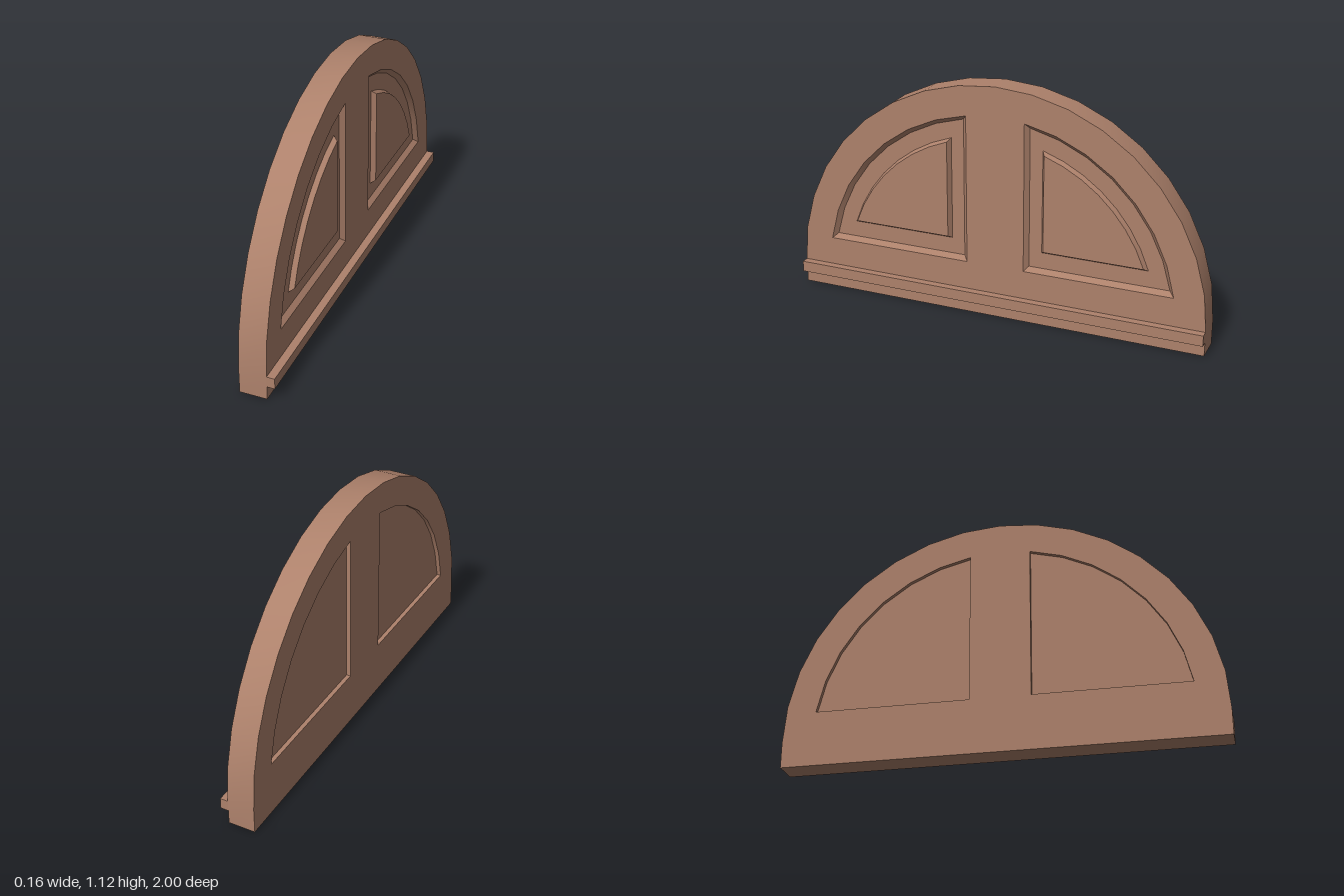
import * as THREE from 'three';
import { mergeGeometries, toCreasedNormals } from 'three/addons/utils/BufferGeometryUtils.js';

const BACK = -0.082, FRONT = 0.045, BASE = 0.118; // slab faces and height where the arch springs
const CREASE = 0.35;

// Quarter-round panel outline, counter-clockwise; side = 1 or -1 mirrors it.
// r: arc radius about the arch centre, a: distance from the middle, b: bottom height
function panelOutline(side, r, a, b) {
  const pts = [], n = 7;
  const t0 = Math.asin((b - BASE) / r), t1 = Math.acos(a / r);
  for (let i = 0; i <= n; i++) {
    const t = t0 + (t1 - t0) * i / n;
    pts.push(new THREE.Vector2(side * r * Math.cos(t), BASE + r * Math.sin(t)));
  }
  pts.push(new THREE.Vector2(side * a, b));
  return side > 0 ? pts : pts.reverse();
}

// Moulded panel: bevel down, flat border, bevel up to a raised field
function mouldedPanel(side) {
  const rings = [
    [FRONT, 0.86, 0.14, 0.255],
    [0.024, 0.84, 0.16, 0.277],
    [0.024, 0.761, 0.221, 0.355],
    [0.0465, 0.75, 0.235, 0.368],
  ].map(([h, r, a, b]) => panelOutline(side, r, a, b).map(p => [p.x, p.y, h]));
  const pos = [];
  for (let k = 0; k < rings.length - 1; k++) {
    const o = rings[k], q = rings[k + 1];
    for (let i = 0; i < o.length; i++) {
      const j = (i + 1) % o.length;
      pos.push(...o[i], ...o[j], ...q[j], ...o[i], ...q[j], ...q[i]);
    }
  }
  const bands = new THREE.BufferGeometry();
  bands.setAttribute('position', new THREE.Float32BufferAttribute(pos, 3));
  bands.computeVertexNormals();
  const field = new THREE.ShapeGeometry(new THREE.Shape(panelOutline(side, 0.75, 0.235, 0.368))).toNonIndexed();
  field.translate(0, 0, 0.0465);
  field.deleteAttribute('uv');
  return toCreasedNormals(mergeGeometries([bands, field]), CREASE).rotateY(Math.PI / 2);
}

export function createModel() {
  const group = new THREE.Group();
  const wood = new THREE.MeshStandardMaterial({ color: 0xad816b });
  wood.name = 'brown wood';
  const add = (name, geometry) => {
    const mesh = new THREE.Mesh(geometry, wood);
    mesh.name = name;
    group.add(mesh);
    return mesh;
  };

  // Arched slab with two panel openings
  const outline = [new THREE.Vector2(-1, 0), new THREE.Vector2(1, 0)];
  for (let i = 0; i <= 18; i++) {
    const t = Math.PI * i / 18;
    outline.push(new THREE.Vector2(Math.cos(t), BASE + Math.sin(t)));
  }
  const arch = new THREE.Shape(outline);
  for (const side of [1, -1]) arch.holes.push(new THREE.Path(panelOutline(side, 0.86, 0.14, 0.255)));
  const slab = new THREE.ExtrudeGeometry(arch, { depth: FRONT - BACK, bevelEnabled: false });
  slab.translate(0, 0, BACK).rotateY(Math.PI / 2);
  add('archedSlab', toCreasedNormals(slab, CREASE));

  // Panels: moulded front and plain recessed back
  for (const side of [1, -1]) {
    const label = side > 0 ? 'Right' : 'Left';
    add('frontPanel' + label, mouldedPanel(side));
    const back = new THREE.ShapeGeometry(new THREE.Shape(panelOutline(-side, 0.86, 0.14, 0.255)));
    back.rotateY(-Math.PI / 2).translate(BACK + 0.02, 0, 0);
    add('backPanel' + label, back);
  }

  // Ledge strip across the bottom of the front
  const ledge = add('ledgeStrip', new THREE.BoxGeometry(0.082 - FRONT, 0.052, 2));
  ledge.position.set((0.082 + FRONT) / 2, 0.092, 0);

  return group;
}
